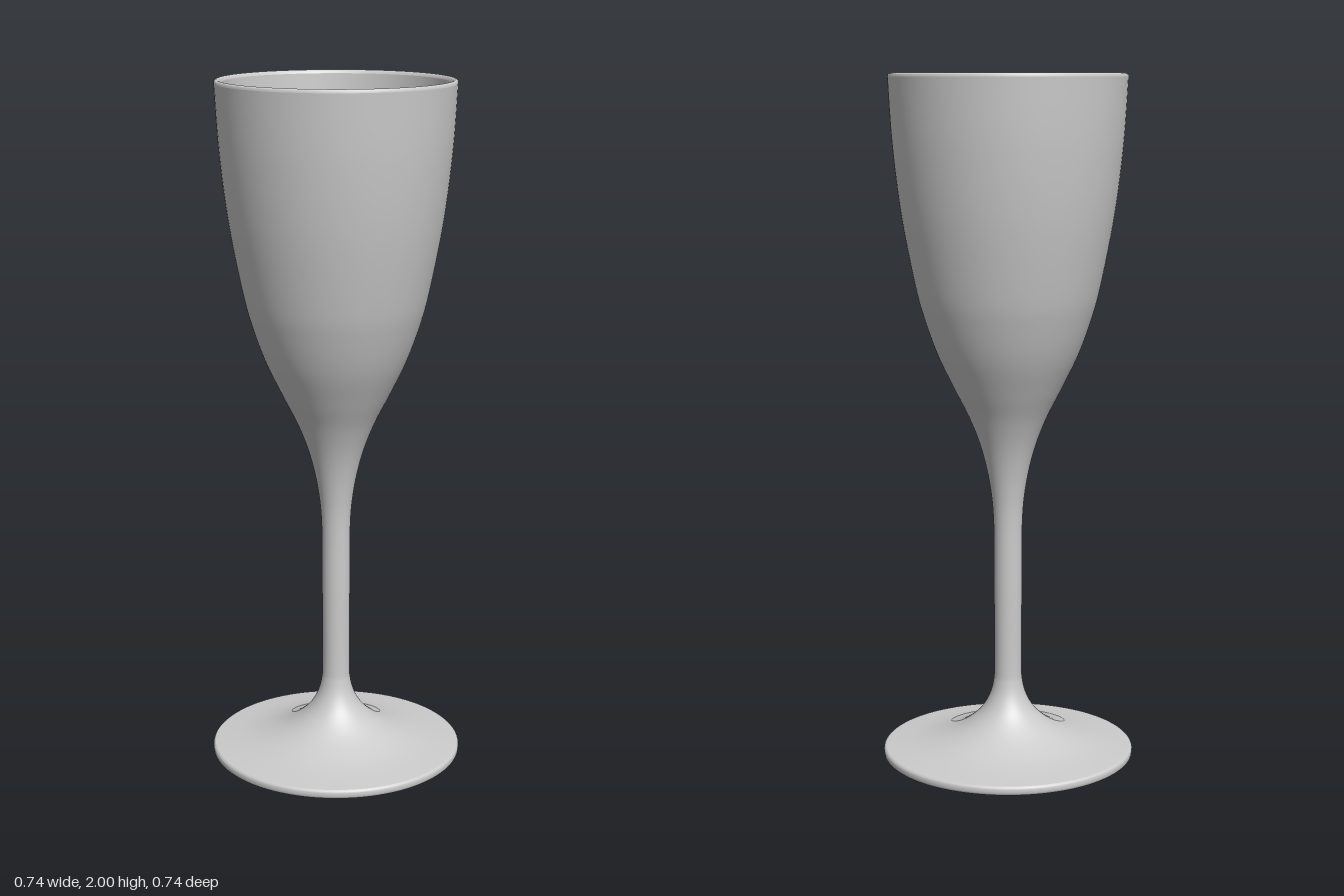
import * as THREE from 'three';

const SEGMENTS = 96;

// Smooth curve through [radius, height] points
function smooth(points, divisions) {
  return new THREE.SplineCurve(points.map(([r, y]) => new THREE.Vector2(r, y))).getPoints(divisions)
    .map((p) => new THREE.Vector2(Math.max(p.x, 0), p.y));
}

export function createModel() {
  const group = new THREE.Group();
  group.name = 'champagneFlute';
  const material = new THREE.MeshStandardMaterial({ color: 0xcccccc });

  // Adds one turned part; its profile runs upwards on the outside
  function turned(name, profile) {
    const mesh = new THREE.Mesh(new THREE.LatheGeometry(profile, SEGMENTS), material);
    mesh.name = name;
    group.add(mesh);
  }
  const v = (r, y) => new THREE.Vector2(r, y);

  // Foot: flat underside, thin edge
  turned('footUnderside', [v(0, 0), v(0.365, 0)]);
  turned('footEdge', smooth([[0.365, 0], [0.37, 0.006], [0.37, 0.02], [0.364, 0.026]], 8));

  // Foot top sweeping into the stem, then flaring out into the bowl
  turned('footStemAndBowl', smooth([
    [0.364, 0.026], [0.27, 0.038], [0.2, 0.056], [0.14, 0.083], [0.09, 0.122],
    [0.06, 0.165], [0.044, 0.215], [0.04, 0.28], [0.041, 0.5], [0.042, 0.7],
    [0.052, 0.81], [0.075, 0.915], [0.11, 1.01], [0.155, 1.1], [0.203, 1.2],
    [0.239, 1.3], [0.266, 1.4], [0.304, 1.6], [0.328, 1.8], [0.34, 1.99],
  ], 140));

  // Rounded rim
  turned('rim', smooth([[0.34, 1.99], [0.338, 1.997], [0.332, 2], [0.326, 1.997], [0.322, 1.99]], 12));

  // Hollow inside with a rounded bottom
  turned('bowlInside', smooth([
    [0.322, 1.99], [0.309, 1.8], [0.285, 1.6], [0.246, 1.4], [0.218, 1.3],
    [0.18, 1.2], [0.14, 1.125], [0.1, 1.075], [0.05, 1.045], [0, 1.037],
  ], 70));

  return group;
}
